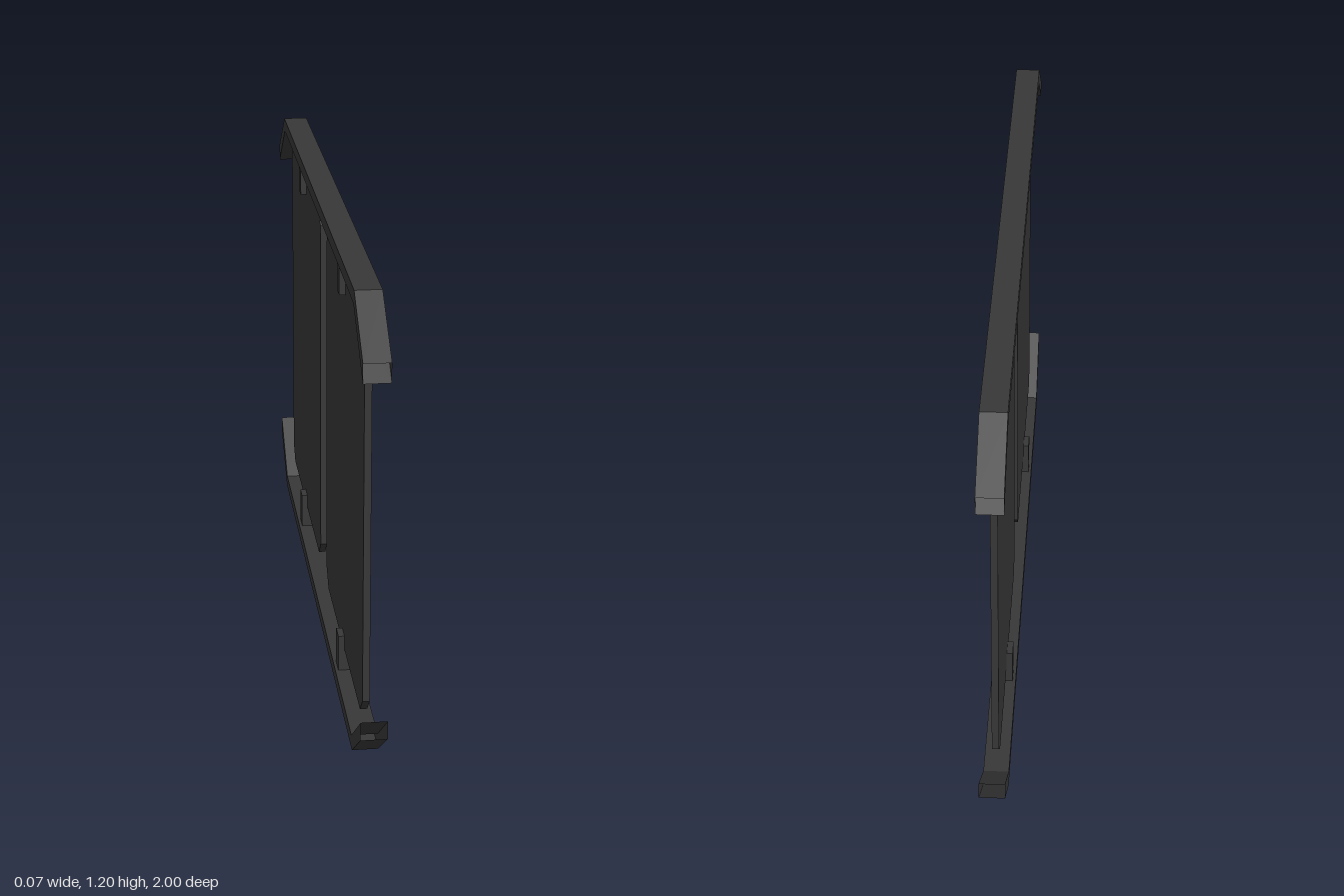
import * as THREE from 'three';

const material = new THREE.MeshStandardMaterial({ color: 0x383838, flatShading: true, side: THREE.DoubleSide });
const HEIGHT = 1.195;

function addMesh(parent, name, geometry) {
  const mesh = new THREE.Mesh(geometry, material);
  mesh.name = name;
  parent.add(mesh);
  return mesh;
}

// Open-ended rectangular tube bent down at both ends
function railGeometry(halfWidth) {
  // Each station: z, outer y, z of the inner corner, inner y
  const stations = [
    [-1, 1.075, -1, 1.027], [-0.838, HEIGHT, -0.825, 1.16],
    [0.838, HEIGHT, 0.825, 1.16], [1, 1.075, 1, 1.027],
  ];
  const positions = [];
  const index = [];
  for (const [zo, yo, zi, yi] of stations) {
    positions.push(-halfWidth, yo, zo, halfWidth, yo, zo, halfWidth, yi, zi, -halfWidth, yi, zi);
  }
  for (let s = 0; s < stations.length - 1; s++) {
    for (let k = 0; k < 4; k++) {
      const a = s * 4 + k, b = s * 4 + (k + 1) % 4;
      index.push(a, a + 4, b, b, a + 4, b + 4);
    }
  }
  const geometry = new THREE.BufferGeometry();
  geometry.setAttribute('position', new THREE.Float32BufferAttribute(positions, 3));
  geometry.setIndex(index);
  const flat = geometry.toNonIndexed();
  flat.computeVertexNormals();
  return flat;
}

// Upright plate with clipped corners, thin along x
function panelGeometry(width, height, cut, thickness) {
  const w = width / 2, h = height / 2;
  const shape = new THREE.Shape([
    [-w + cut, -h], [w - cut, -h], [w, -h + cut], [w, h - cut],
    [w - cut, h], [-w + cut, h], [-w, h - cut], [-w, -h + cut],
  ].map(([x, y]) => new THREE.Vector2(x, y)));
  const geometry = new THREE.ExtrudeGeometry(shape, { depth: thickness, bevelEnabled: false });
  return geometry.translate(0, 0, -thickness / 2).rotateY(Math.PI / 2);
}

export function createModel() {
  const model = new THREE.Group();
  model.name = 'panelFrame';

  // Top rail, and the same rail turned over for the bottom
  addMesh(model, 'topRail', railGeometry(0.033));
  const bottom = addMesh(model, 'bottomRail', railGeometry(0.033));
  bottom.rotation.z = Math.PI;
  bottom.position.y = HEIGHT;

  for (const side of [1, -1]) {
    const end = side > 0 ? 'front' : 'back';
    const z = side * 0.462;

    // Panel
    addMesh(model, end + 'Panel', panelGeometry(0.775, 1.035, 0.046, 0.018))
      .position.set(0, 0.612, z);

    // Clips holding the panel to the rails
    addMesh(model, end + 'TopClip', new THREE.BoxGeometry(0.05, 0.095, 0.048))
      .position.set(0, 1.116, z);
    addMesh(model, end + 'BottomClip', new THREE.BoxGeometry(0.05, 0.1, 0.048))
      .position.set(0, 0.084, z);
  }
  return model;
}
